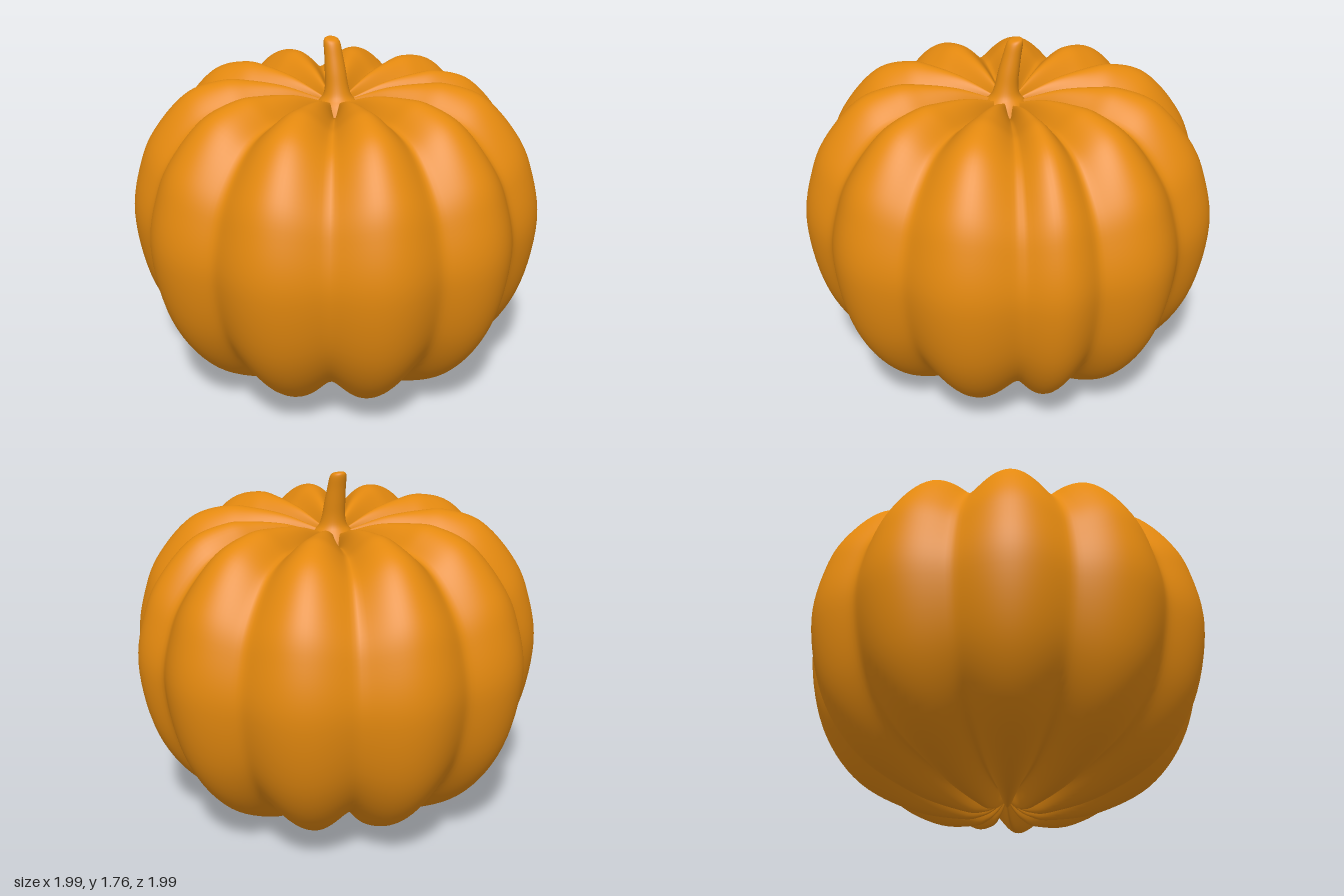
import * as THREE from 'three';

const DEG = Math.PI / 180;
// Angles of the grooves between ribs; one rib is narrower than the rest.
const GROOVES = [0, 22.5, 57, 90, 123, 157.6, 192.5, 226, 260, 293.5, 327.5, 360];
const MID_Y = 0.78;

// Closed surface from rings: pointAt(v, angle) with v running bottom to top.
function ringSurface(angles, rows, pointAt) {
  const positions = [], index = [], n = angles.length;
  for (let j = 0; j <= rows; j++) {
    for (const a of angles) positions.push(...pointAt(j / rows, a));
  }
  for (let j = 0; j < rows; j++) {
    for (let i = 0; i < n; i++) {
      const a = j * n + i, b = j * n + (i + 1) % n;
      index.push(a, a + n, b, b, a + n, b + n);
    }
  }
  const geometry = new THREE.BufferGeometry();
  geometry.setAttribute('position', new THREE.Float32BufferAttribute(positions, 3));
  geometry.setIndex(index);
  geometry.computeVertexNormals();
  return geometry;
}

const spline = (pts) => new THREE.SplineCurve(pts.map(([x, y]) => new THREE.Vector2(x, y)));

// 0 on the crest of a rib, 1 in the bottom of a groove, softly rounded.
function grooveDepth(angle) {
  const d = angle / DEG;
  let k = 0;
  while (k < GROOVES.length - 2 && d >= GROOVES[k + 1]) k++;
  const s = Math.sin(Math.PI * (d - GROOVES[k]) / (GROOVES[k + 1] - GROOVES[k]));
  const soft = 0.2;
  const bump = (Math.hypot(s, soft) - soft) / (Math.hypot(1, soft) - soft);
  return 1 - bump * (k === 1 - 1 ? 0.85 : 1);
}

function bodyGeometry() {
  // Crest profile (radius, height) from the bottom dimple to the top dimple
  const profile = spline([
    [0, 0.1], [0.05, 0.045], [0.12, 0.01], [0.22, 0.002], [0.47, 0.06], [0.75, 0.225],
    [0.935, 0.5], [1.01, 0.87], [0.96, 1.16], [0.87, 1.34], [0.72, 1.5], [0.55, 1.56],
    [0.42, 1.558], [0.25, 1.53], [0.1, 1.475], [0, 1.43],
  ]);
  const angles = Array.from({ length: 264 }, (_, i) => i / 264 * Math.PI * 2);
  return ringSurface(angles, 100, (v, a) => {
    const p = profile.getPoint(v);
    const g = grooveDepth(a) * THREE.MathUtils.smoothstep(p.x, 0, 0.12);
    const r = Math.max(p.x, 0) * (1 - 0.07 * g);
    const y = MID_Y + (p.y - MID_Y) * (1 - 0.125 * g);
    return [0.01 + r * Math.cos(a), y, r * Math.sin(a)];
  });
}

function stemGeometry() {
  // Flared foot, slim shaft and rounded tip
  const radius = spline([
    [0.12, 1.41], [0.095, 1.455], [0.068, 1.49], [0.056, 1.54], [0.051, 1.61],
    [0.045, 1.68], [0.041, 1.735], [0.032, 1.755], [0.015, 1.76], [0, 1.76],
  ]);
  const angles = Array.from({ length: 32 }, (_, i) => i / 32 * Math.PI * 2);
  return ringSurface(angles, 36, (v, a) => {
    const p = radius.getPoint(v);
    const t = Math.max(0, (p.y - 1.45) / 0.31);
    const r = Math.max(p.x, 0);
    // The shaft leans toward the back
    const z = 0.018 - 0.058 * Math.pow(t, 1.5);
    return [0.01 + r * Math.cos(a), p.y - 0.012 * t * r / 0.04 * Math.sin(a) * 0.5, z + r * Math.sin(a)];
  });
}

export function createModel() {
  const group = new THREE.Group();
  group.name = 'pumpkin';
  const orange = new THREE.MeshStandardMaterial({ color: 0xe4890f });
  orange.name = 'pumpkin orange';

  const body = new THREE.Mesh(bodyGeometry(), orange);
  body.name = 'ribbedBody';
  const stem = new THREE.Mesh(stemGeometry(), orange);
  stem.name = 'stem';
  group.add(body, stem);
  return group;
}
